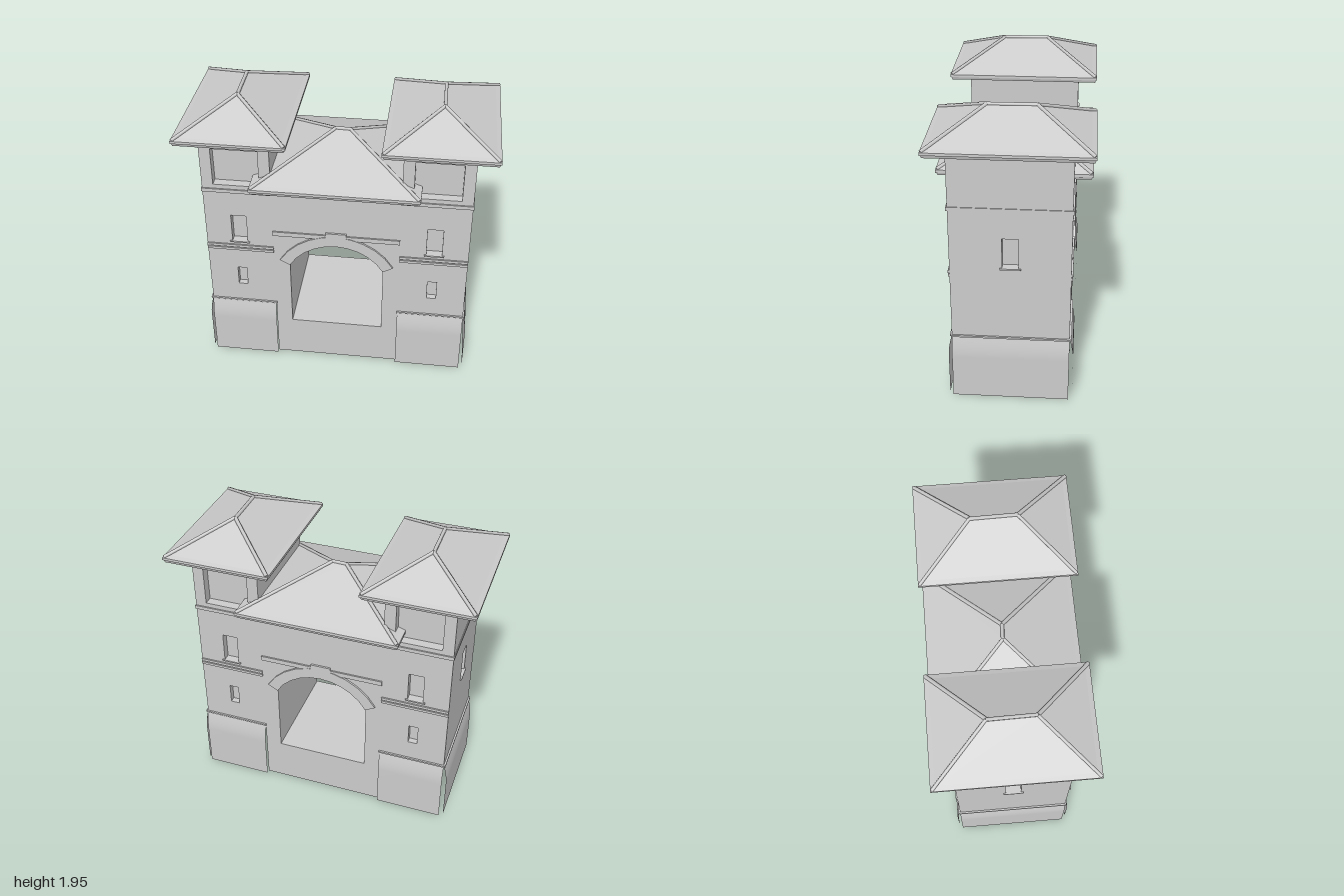
import * as THREE from 'three';

const mat = new THREE.MeshStandardMaterial({ color: 0xcccccc, side: THREE.DoubleSide });

const HX = 0.865, HZ = 0.373;          // outer wall faces
const INNER = 0.418, TX = 0.6415;      // inner tower face and tower centre
const TW = HX - INNER;                 // tower width
const ARCH = { half: 0.31, floor: 0.3, spring: 0.797, cy: 0.623, r: 0.357, outer: 0.432 };

function add(parent, geometry, name, x = 0, y = 0, z = 0) {
  const mesh = new THREE.Mesh(geometry, mat);
  mesh.name = name;
  mesh.position.set(x, y, z);
  parent.add(mesh);
  return mesh;
}

// Box on a wall: centre x, width, bottom, top, and outward reach from the wall plane z = 0
function band(parent, name, x, w, y0, y1, out) {
  add(parent, new THREE.BoxGeometry(w, y1 - y0, out + 0.01), name, x, (y0 + y1) / 2, (out - 0.01) / 2);
}

function rectPath(Type, x0, x1, y0, y1) {
  const p = new Type();
  p.moveTo(x0, y0); p.lineTo(x1, y0); p.lineTo(x1, y1); p.lineTo(x0, y1); p.closePath();
  return p;
}

// Box without its front face, turned to face inwards
function recess(w, h, depth) {
  const geo = new THREE.BoxGeometry(w, h, depth);
  const index = Array.from(geo.index.array);
  index.splice(24, 6);
  geo.clearGroups();
  geo.setIndex(index.reverse());
  geo.computeVertexNormals();
  return geo;
}

// Flat wall in the local xy plane with recessed openings [cx, w, y0, y1, depth, sill]
function wall(parent, name, cx, w, y0, y1, openings) {
  const shape = rectPath(THREE.Shape, cx - w / 2, cx + w / 2, y0, y1);
  for (const [ox, ow, b, t, depth, sill] of openings) {
    shape.holes.push(rectPath(THREE.Path, ox - ow / 2, ox + ow / 2, b, t));
    add(parent, recess(ow, t - b, depth), 'windowRecess', ox, (b + t) / 2, -depth / 2);
    if (sill) band(parent, 'windowSill', ox, ow + 0.03, b - 0.008, b + 0.002, 0.01);
  }
  add(parent, new THREE.ShapeGeometry(shape), name);
}

// Base apron that curves outward towards the ground
function apron(parent, cx, w) {
  const top = 0.455, bend = 0.3, n = 6;
  const geo = new THREE.PlaneGeometry(w, 1, 1, n + 1);
  const pos = geo.attributes.position;
  for (let i = 0; i < pos.count; i++) {
    const row = Math.floor(i / 2), t = Math.min(row / n, 1);
    pos.setY(i, row > n ? 0 : top - (top - bend) * t);
    pos.setZ(i, 0.025 * Math.sin(t * Math.PI / 2));
  }
  geo.computeVertexNormals();
  add(parent, geo, 'flaredBase', cx);
  band(parent, 'baseMoulding', cx, w + 0.01, 0.446, 0.458, 0.012);
}

function archPoints(r, n = 10) {
  const a = Math.atan2(ARCH.spring - ARCH.cy, ARCH.half), pts = [];
  for (let i = 0; i <= n; i++) {
    const t = a + (Math.PI - 2 * a) * i / n;
    pts.push(new THREE.Vector2(r * Math.cos(t), ARCH.cy + r * Math.sin(t)));
  }
  return pts;
}

// Outline of the gateway opening, anticlockwise from lower left
function gateOutline() {
  return [new THREE.Vector2(-ARCH.half, ARCH.floor), new THREE.Vector2(ARCH.half, ARCH.floor), ...archPoints(ARCH.r)];
}

function facade() {
  const g = new THREE.Group();
  for (const s of [-1, 1]) {
    const x = s * TX;
    wall(g, 'towerFrontWall', x, TW, 0.455, 1.75, [
      [x, 0.102, 0.96, 1.165, 0.05, true],
      [x, 0.062, 0.595, 0.735, 0.04, false],
      [x, 0.3, 1.4, 1.662, 0.06, false],
    ]);
    apron(g, x, TW);
    band(g, 'stringCourse', x, TW, 0.888, 0.906, 0.01);
    band(g, 'stringCourse', x, TW, 0.914, 0.932, 0.01);
    band(g, 'gateStringCourse', s * 0.2425, 0.351, 1.03, 1.062, 0.01);
  }
  // Gate wall with arched opening
  const shape = rectPath(THREE.Shape, -INNER, INNER, 0, 1.43);
  shape.holes.push(new THREE.Path(gateOutline()));
  add(g, new THREE.ShapeGeometry(shape), 'gateWall');
  band(g, 'gateFrieze', 0, 2 * INNER, 1.375, 1.42, 0.01);
  // Arch ring and keystone
  const ring = new THREE.Shape([...archPoints(ARCH.outer), ...archPoints(ARCH.r).reverse()]);
  add(g, new THREE.ExtrudeGeometry(ring, { depth: 0.013, bevelEnabled: false }), 'archRing');
  band(g, 'keystone', 0, 0.135, 1.035, 1.081, 0.013);
  return g;
}

// Hipped roof: stacked rectangles [halfX, halfZ, y] ending in the ridge, plus ridge caps
function hipRoof(name, hx, hz, y0, y1, yTop, rx, rz) {
  const g = new THREE.Group();
  g.name = name;
  const rings = [[hx - 0.012, hz - 0.012, y0], [hx - 0.006, hz - 0.006, y0 + 0.018], [hx, hz, y0 + 0.02],
    [hx, hz, y1], [hx - 0.03, hz - 0.03, y1 + 0.011], [rx, rz, yTop]]
    .map(([a, b, y]) => [[-a, y, b], [a, y, b], [a, y, -b], [-a, y, -b]]);
  const v = [];
  const quad = (a, b, c, d) => v.push(...a, ...b, ...c, ...a, ...c, ...d);
  for (let r = 0; r < rings.length - 1; r++)
    for (let i = 0; i < 4; i++) {
      const j = (i + 1) % 4;
      quad(rings[r][i], rings[r][j], rings[r + 1][j], rings[r + 1][i]);
    }
  quad(rings[0][3], rings[0][2], rings[0][1], rings[0][0]);
  const geo = new THREE.BufferGeometry();
  geo.setAttribute('position', new THREE.Float32BufferAttribute(v, 3));
  geo.computeVertexNormals();
  add(g, geo, 'roofShell');
  const cap = (a, b) => {
    const p = new THREE.Vector3(...a), q = new THREE.Vector3(...b);
    const m = add(g, new THREE.CylinderGeometry(0.012, 0.012, p.distanceTo(q), 6), 'ridgeCap');
    m.position.copy(p).add(q).multiplyScalar(0.5);
    m.quaternion.setFromUnitVectors(new THREE.Vector3(0, 1, 0), q.sub(p).normalize());
  };
  for (const sx of [-1, 1]) for (const sz of [-1, 1])
    cap([sx * (hx - 0.008), y1 + 0.002, sz * (hz - 0.008)], [sx * rx, yTop, sz * rz]);
  cap([-rx, yTop, -rz], [rx, yTop, rz]);
  return g;
}

export function createModel() {
  const model = new THREE.Group();
  model.name = 'gatehouse';

  // Matching front and back
  for (const [name, angle] of [['frontFacade', 0], ['backFacade', Math.PI]]) {
    const f = facade();
    f.name = name;
    f.rotation.y = angle;
    f.position.z = HZ * Math.cos(angle);
    model.add(f);
  }

  for (const s of [-1, 1]) {
    // Outer tower sides
    const side = new THREE.Group();
    side.name = s > 0 ? 'leftSide' : 'rightSide';
    wall(side, 'towerSideWall', 0, 2 * HZ, 0.455, 1.75, [[0, 0.1, 0.96, 1.165, 0.05, true]]);
    apron(side, 0, 2 * HZ);
    side.rotation.y = s * Math.PI / 2;
    side.position.x = s * HX;
    model.add(side);

    // Inner tower side above the gate roof
    const inner = add(model, new THREE.PlaneGeometry(2 * HZ, 0.45), 'towerInnerWall', s * INNER, 1.525, 0);
    inner.rotation.y = -s * Math.PI / 2;

    // Bands running right round the tower
    for (const [y0, y1, outX, outZ] of [[1.345, 1.37, 0.005, 0.009], [1.7, 1.74, 0.005, 0.01]]) {
      const ring = rectPath(THREE.Shape, -TW / 2 - outX, TW / 2 + outX, -HZ - outZ, HZ + outZ);
      ring.holes.push(rectPath(THREE.Path, -TW / 2, TW / 2, -HZ, HZ));
      const geo = new THREE.ExtrudeGeometry(ring, { depth: y1 - y0, bevelEnabled: false }).rotateX(-Math.PI / 2);
      add(model, geo, 'towerBand', s * TX, y0, 0);
    }

    const roof = hipRoof('towerRoof', 0.355, 0.497, 1.738, 1.775, 1.94, 0.002, 0.15);
    roof.position.x = s * 0.645;
    model.add(roof);
  }
  model.add(hipRoof('gateRoof', 0.54, 0.488, 1.413, 1.452, 1.65, 0.05, 0.002));

  // Passage lining through the gate
  const outline = gateOutline();
  const v = [];
  outline.forEach((a, i) => {
    const b = outline[(i + 1) % outline.length];
    v.push(a.x, a.y, HZ, b.x, b.y, HZ, b.x, b.y, -HZ, a.x, a.y, HZ, b.x, b.y, -HZ, a.x, a.y, -HZ);
  });
  const lining = new THREE.BufferGeometry();
  lining.setAttribute('position', new THREE.Float32BufferAttribute(v, 3));
  lining.computeVertexNormals();
  add(model, lining, 'gatePassage');
  return model;
}
